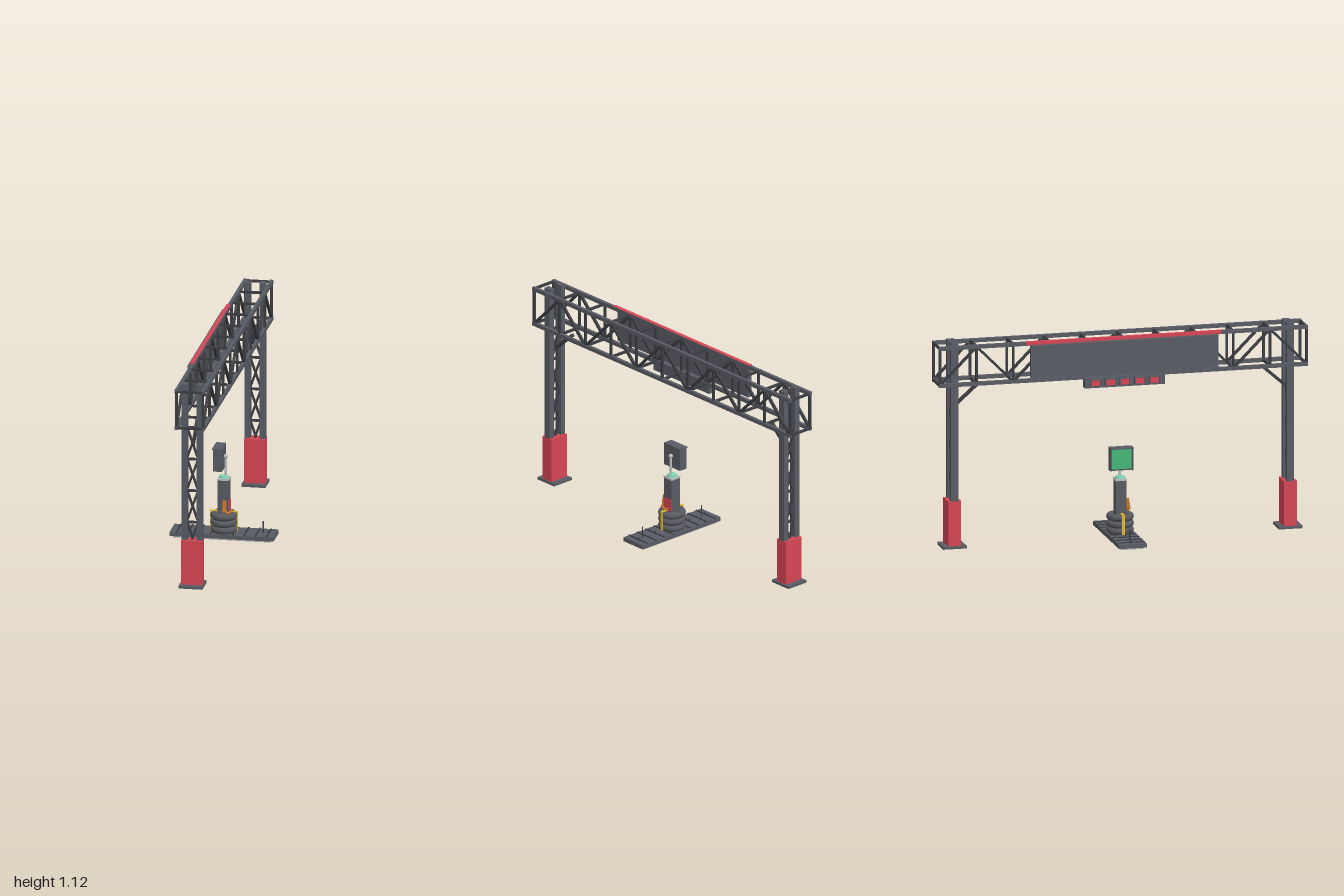
import * as THREE from 'three';

const material = (name, color) => {
  const m = new THREE.MeshStandardMaterial({ color });
  m.name = name;
  return m;
};

export function createModel() {
  const steel = material('dark steel', 0x595c65);
  const lattice = material('charcoal lattice', 0x3c3e43);
  const red = material('signal red', 0xd84655);
  const rubber = material('rubber', 0x585a60);
  const underside = material('underside grey', 0xb4b4b4);
  const silver = material('silver', 0xbcc0c4);
  const mint = material('mint', 0x84dcb4);
  const green = material('screen green', 0x45b878);
  const yellow = material('strap yellow', 0xe6bc2a);
  const orange = material('hose orange', 0xc47a2a);

  const model = new THREE.Group();
  const group = (name, parent = model) => {
    const g = new THREE.Group();
    g.name = name;
    parent.add(g);
    return g;
  };
  const add = (parent, name, geometry, mat, x = 0, y = 0, z = 0) => {
    const mesh = new THREE.Mesh(geometry, mat);
    mesh.name = name;
    mesh.position.set(x, y, z);
    parent.add(mesh);
    return mesh;
  };
  // Box given by its limits on each axis
  const box = (parent, name, mat, x0, x1, y0, y1, z0, z1) =>
    add(parent, name, new THREE.BoxGeometry(x1 - x0, y1 - y0, z1 - z0), mat,
      (x0 + x1) / 2, (y0 + y1) / 2, (z0 + z1) / 2);
  // Square bar between two points, aimed before it joins its parent so both stay local
  const bar = (parent, name, mat, a, b, size) => {
    const from = new THREE.Vector3(...a), to = new THREE.Vector3(...b);
    const mesh = new THREE.Mesh(new THREE.BoxGeometry(size, size, from.distanceTo(to)), mat);
    mesh.name = name;
    mesh.position.copy(from).add(to).multiplyScalar(0.5);
    mesh.lookAt(to);
    parent.add(mesh);
  };

  // Truss beam
  const truss = group('trussBeam');
  const CX = 0.07, TOP = 1.1, BOTTOM = 0.9;
  for (const x of [-CX, CX]) {
    for (const y of [BOTTOM, TOP]) box(truss, 'chord', steel, x - 0.009, x + 0.009, y - 0.01, y + 0.01, -1, 1);
    for (let i = 0; i <= 10; i++) {
      const z = (-1 + i * 0.2) * 0.994;
      bar(truss, 'upright', lattice, [x, BOTTOM, z], [x, TOP, z], 0.012);
      if (i < 10) {
        const up = i % 2 === 0;
        bar(truss, 'diagonal', lattice, [x, up ? BOTTOM : TOP, z],
          [x, up ? TOP : BOTTOM, z + 0.1988], 0.013);
      }
    }
  }
  for (let i = 0; i <= 10; i++) {
    const z = (-1 + i * 0.2) * 0.994;
    for (const y of [BOTTOM, TOP]) bar(truss, 'crossRung', lattice, [-CX, y, z], [CX, y, z], 0.012);
  }

  // Two lattice legs
  for (const s of [-1, 1]) {
    const leg = group(s > 0 ? 'frontLeg' : 'rearLeg');
    leg.position.z = s * 0.91;
    box(leg, 'footPlate', steel, -0.064, 0.064, 0.01, 0.024, -0.064, 0.064);
    box(leg, 'redBase', red, -0.056, 0.056, 0.024, 0.266, -0.035, 0.035);
    for (const x of [-0.04, 0.04]) box(leg, 'column', steel, x - 0.0155, x + 0.0155, 0.024, 1.122, -0.02, 0.02);
    for (let i = 0; i < 4; i++) {
      const y = 0.186 + i * 0.1735, top = y + 0.1735;
      bar(leg, 'legRung', lattice, [-0.03, top, 0], [0.03, top, 0], 0.012);
      bar(leg, 'legCross', lattice, [-0.03, y, 0.005], [0.03, top, 0.005], 0.011);
      bar(leg, 'legCross', lattice, [0.03, y, -0.005], [-0.03, top, -0.005], 0.011);
    }
    bar(leg, 'kneeBrace', lattice, [0, 0.775, -s * 0.015], [0, 0.885, -s * 0.14], 0.016);
  }

  // Sign board with a red cap
  const sign = group('signBoard');
  box(sign, 'board', steel, -0.101, -0.077, 0.917, 1.092, -0.507, 0.507);
  box(sign, 'redCap', red, -0.085, -0.064, 1.094, 1.1115, -0.53, 0.53);

  // Lamp housing with five hooded red lamps
  const lamps = group('lampBar');
  box(lamps, 'lampHousing', steel, -0.104, -0.066, 0.846, 0.902, -0.217, 0.217);
  for (let i = -2; i <= 2; i++) {
    const z = i * 0.08;
    box(lamps, 'lampLens', red, -0.109, -0.103, 0.857, 0.89, z - 0.024, z + 0.024);
    box(lamps, 'lampHood', steel, -0.119, -0.103, 0.89, 0.896, z - 0.03, z + 0.03);
    for (const d of [-0.027, 0.027]) box(lamps, 'hoodSide', steel, -0.119, -0.103, 0.857, 0.89, z + d - 0.003, z + d + 0.003);
  }

  // Platform with ribs, studs and marker pins
  const platform = group('platform');
  box(platform, 'undersidePanel', underside, -0.26, 0.26, 0, 0.01, -0.062, 0.062);
  box(platform, 'deck', steel, -0.278, 0.278, 0.01, 0.032, -0.075, 0.075);
  for (const s of [-1, 1]) {
    for (const x of [0.06, 0.12, 0.18, 0.24]) {
      box(platform, 'deckRib', lattice, s * x - 0.004, s * x + 0.004, 0.032, 0.036, -0.074, 0.074);
    }
    for (const x of [0.12, 0.238]) add(platform, 'stud', new THREE.CylinderGeometry(0.004, 0.004, 0.012, 8), lattice, s * x, 0.037, 0);
    add(platform, 'markerPin', new THREE.CylinderGeometry(0.0035, 0.0035, 0.065, 8), lattice, s * 0.21, 0.064, 0);
  }

  // Stack of three tyres held by straps
  const stack = group('tyreStack');
  for (let i = 0; i < 3; i++) {
    const tyre = add(stack, 'tyre', new THREE.TorusGeometry(0.053, 0.02, 12, 32), rubber, 0, 0.048 + i * 0.036, 0);
    tyre.rotation.x = Math.PI / 2;
  }
  add(stack, 'stackCore', new THREE.CylinderGeometry(0.045, 0.045, 0.1, 24), rubber, 0, 0.08, 0);
  for (const s of [-1, 1]) {
    const strap = group('strap', stack);
    const a = s * 0.07, b = s * 0.0745;
    box(strap, 'strapSide', yellow, Math.min(a, b), Math.max(a, b), 0.035, 0.142, -0.007, 0.007);
    box(strap, 'strapTop', yellow, Math.min(s * 0.03, b), Math.max(s * 0.03, b), 0.139, 0.143, -0.007, 0.007);
  }

  // Pedestal with a red panel and a mint cap
  const pedestal = group('pedestal');
  box(pedestal, 'post', steel, -0.029, 0.029, 0.1, 0.318, -0.029, 0.029);
  box(pedestal, 'redPanel', red, 0.028, 0.032, 0.138, 0.204, -0.026, 0.026);
  box(pedestal, 'collar', silver, -0.031, 0.031, 0.316, 0.326, -0.031, 0.031);
  add(pedestal, 'mintCap', new THREE.CylinderGeometry(0.024, 0.026, 0.012, 16), mint, 0, 0.332, 0);

  // Hose and nozzle beside the post
  const hose = new THREE.CatmullRomCurve3([
    [0.035, 0.145, -0.012], [0.045, 0.15, 0.025], [0.025, 0.145, 0.05], [0.012, 0.175, 0.046], [0.01, 0.205, 0.042],
  ].map((p) => new THREE.Vector3(...p)));
  add(pedestal, 'hose', new THREE.TubeGeometry(hose, 24, 0.006, 8), orange);
  bar(pedestal, 'nozzle', orange, [0.01, 0.15, 0.05], [0.01, 0.21, 0.04], 0.018);

  // Monitor on a silver arm, its screen facing -x
  const monitor = group('monitor');
  add(monitor, 'arm', new THREE.CylinderGeometry(0.007, 0.007, 0.11, 12), silver, 0.009, 0.39, 0);
  add(monitor, 'armJoint', new THREE.SphereGeometry(0.012, 16, 10), silver, 0.009, 0.443, 0);
  box(monitor, 'monitorCase', steel, -0.034, 0, 0.374, 0.498, -0.062, 0.062);
  box(monitor, 'screen', green, -0.037, -0.033, 0.382, 0.49, -0.054, 0.054);
  box(monitor, 'hoodTop', steel, -0.053, -0.033, 0.492, 0.498, -0.062, 0.062);
  for (const z of [-0.059, 0.059]) box(monitor, 'hoodCheek', steel, -0.046, -0.033, 0.374, 0.493, z - 0.003, z + 0.003);

  return model;
}
